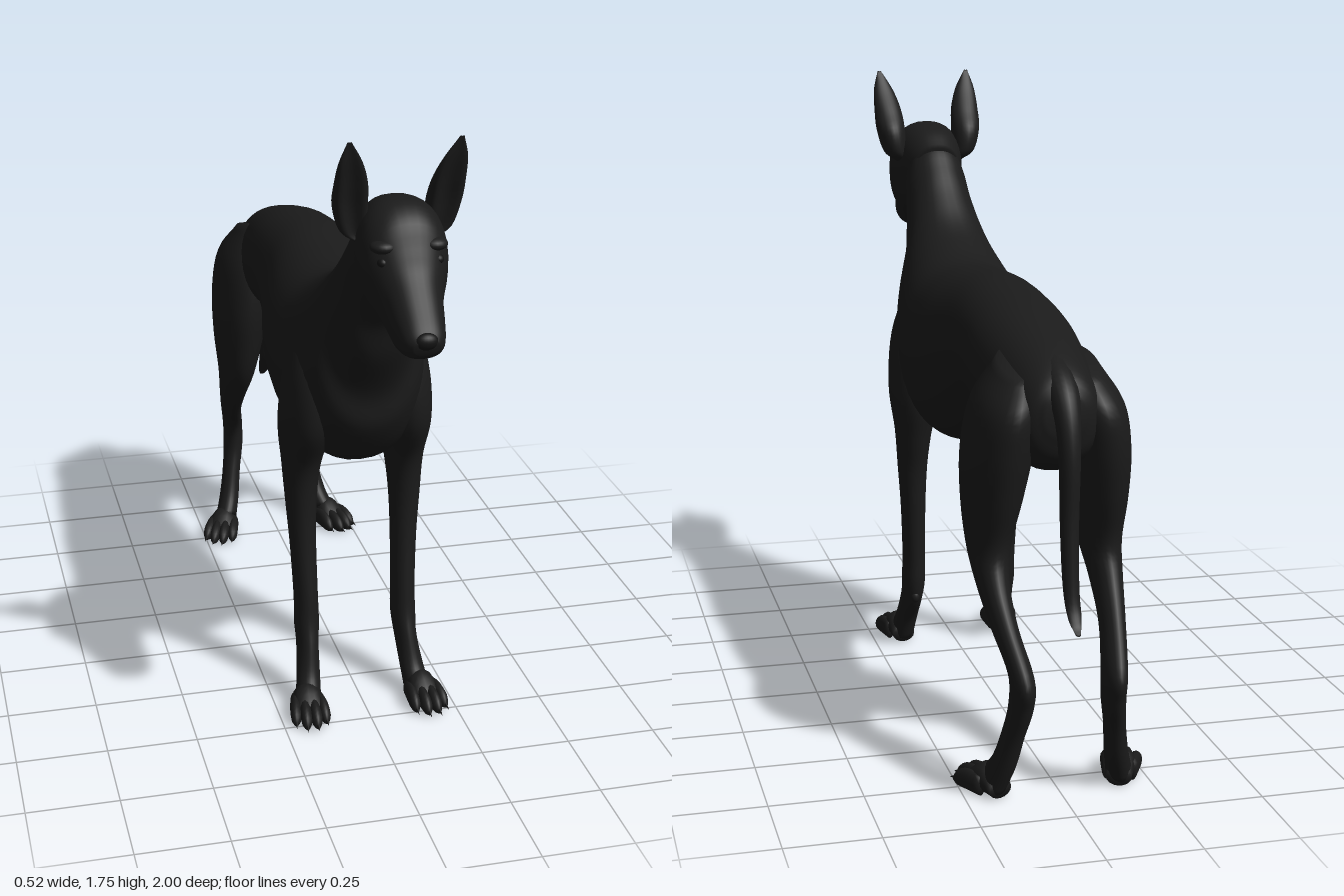
import * as THREE from 'three';

const coat = new THREE.MeshStandardMaterial({ color: 0x1b1b1b });
coat.name = 'black coat';
const dark = new THREE.MeshStandardMaterial({ color: 0x131313 });
dark.name = 'nose and claw black';

// Smooth loft through sections [zA, yA, zB, yB, x, halfWidth].
// A and B are opposite edge points of each ring in the side plane.
function loft(name, sections, { side = 1, round = 1, cup = 0, n = 28, steps = 5, material = coat } = {}) {
  const curve = (f) => new THREE.CatmullRomCurve3(sections.map(f), false, 'catmullrom', 0.5);
  const cA = curve((s) => new THREE.Vector3(0, s[1], s[0]));
  const cB = curve((s) => new THREE.Vector3(0, s[3], s[2]));
  const cW = curve((s) => new THREE.Vector3(s[4], s[5], 0));
  const rows = (sections.length - 1) * steps;
  const pos = [], idx = [];
  const bend = (v) => Math.sign(v) * Math.abs(v) ** round;
  for (let i = 0; i <= rows; i++) {
    const t = i / rows;
    const a = cA.getPoint(t), b = cB.getPoint(t), w = cW.getPoint(t);
    for (let j = 0; j < n; j++) {
      const q = (j / n) * Math.PI * 2;
      const c = Math.cos(q);
      const k = (bend(c) - cup * Math.max(0, c) ** 4 + 1) / 2;
      pos.push(side * (w.x + w.y * bend(Math.sin(q))), Math.max(0, b.y + (a.y - b.y) * k), b.z + (a.z - b.z) * k);
    }
  }
  for (let i = 0; i < rows; i++) {
    for (let j = 0; j < n; j++) {
      const a = i * n + j, b = i * n + (j + 1) % n;
      idx.push(a, b, a + n, b, b + n, a + n);
    }
  }
  // End caps
  for (const r of [0, rows]) {
    const m = pos.length / 3, c = [0, 0, 0];
    for (let j = 0; j < n; j++) for (let d = 0; d < 3; d++) c[d] += pos[(r * n + j) * 3 + d] / n;
    pos.push(...c);
    for (let j = 0; j < n; j++) {
      const a = r * n + j, b = r * n + (j + 1) % n;
      idx.push(...(r ? [m, a, b] : [m, b, a]));
    }
  }
  // Turn the faces outward when the enclosed volume is negative
  const p = (i) => new THREE.Vector3().fromArray(pos, i * 3);
  let volume = 0;
  for (let i = 0; i < idx.length; i += 3) volume += p(idx[i]).dot(p(idx[i + 1]).cross(p(idx[i + 2])));
  if (volume < 0) idx.reverse();
  const g = new THREE.BufferGeometry();
  g.setAttribute('position', new THREE.Float32BufferAttribute(pos, 3));
  g.setIndex(idx);
  g.computeVertexNormals();
  const mesh = new THREE.Mesh(g, material);
  mesh.name = name;
  return mesh;
}

function ball(name, x, y, z, rx, ry, rz, material = coat) {
  const mesh = new THREE.Mesh(new THREE.SphereGeometry(1, 20, 14), material);
  mesh.name = name;
  mesh.position.set(x, y, z);
  mesh.scale.set(rx, ry, rz);
  return mesh;
}

// Paw with four toes and claws, pointing along +z from the heel
function paw(name, x, z, yaw) {
  const g = new THREE.Group();
  g.name = name;
  g.add(loft('pawPad', [
    [0, 0.05, 0, 0, 0, 0.034], [0.05, 0.085, 0.05, 0, 0, 0.04],
    [0.1, 0.06, 0.1, 0, 0, 0.042], [0.13, 0.03, 0.13, 0.004, 0, 0.028]], { n: 16, steps: 3 }));
  [-1.5, -0.5, 0.5, 1.5].forEach((k) => {
    const L = Math.abs(k) > 1 ? 0.148 : 0.172;
    const toe = new THREE.Group();
    toe.name = 'toe';
    toe.position.x = k * 0.02;
    toe.rotation.y = k * 0.06;
    toe.add(loft('toePad', [
      [0.04, 0.055, 0.04, 0, 0, 0.013], [L - 0.06, 0.06, L - 0.06, 0, 0, 0.016],
      [L - 0.02, 0.046, L - 0.02, 0, 0, 0.015], [L, 0.024, L, 0.006, 0, 0.006]], { n: 12, steps: 3 }));
    const claw = new THREE.Mesh(new THREE.ConeGeometry(0.006, 0.03, 8), dark);
    claw.name = 'claw';
    claw.rotation.x = Math.PI / 2 + 0.3;
    claw.position.set(0, 0.015, L + 0.006);
    toe.add(claw);
    g.add(toe);
  });
  g.position.set(x, 0, z);
  g.rotation.y = yaw;
  return g;
}

export function createModel() {
  const dog = new THREE.Group();
  dog.name = 'dog';

  // Trunk from rump to neck
  dog.add(loft('body', [
    [-0.865, 1.06, -0.865, 0.96, 0, 0.05],
    [-0.83, 1.11, -0.83, 0.88, 0, 0.1],
    [-0.72, 1.16, -0.72, 0.84, 0, 0.13],
    [-0.5, 1.22, -0.5, 0.88, 0, 0.152],
    [-0.34, 1.245, -0.34, 0.9, 0, 0.155],
    [-0.18, 1.257, -0.18, 0.834, 0, 0.165],
    [0, 1.246, 0, 0.738, 0, 0.197],
    [0.16, 1.24, 0.19, 0.705, 0, 0.2],
    [0.28, 1.28, 0.37, 0.745, 0, 0.185],
    [0.37, 1.33, 0.475, 0.87, 0, 0.155],
    [0.45, 1.4, 0.495, 0.98, 0, 0.125],
    [0.52, 1.475, 0.565, 1.11, 0, 0.105],
    [0.58, 1.535, 0.605, 1.22, 0, 0.095],
    [0.66, 1.57, 0.68, 1.31, 0, 0.08]], { n: 40, round: 0.92 }));

  // Head and muzzle
  dog.add(loft('head', [
    [0.56, 1.53, 0.64, 1.32, 0, 0.075],
    [0.64, 1.58, 0.7, 1.31, 0, 0.1],
    [0.74, 1.598, 0.74, 1.31, 0, 0.112],
    [0.81, 1.565, 0.78, 1.295, 0, 0.107],
    [0.85, 1.5, 0.82, 1.28, 0, 0.088],
    [0.88, 1.448, 0.86, 1.258, 0, 0.074],
    [0.93, 1.39, 0.9, 1.246, 0, 0.065],
    [0.975, 1.34, 0.955, 1.256, 0, 0.052],
    [0.994, 1.312, 0.982, 1.275, 0, 0.032]], { n: 36, round: 0.85 }));
  dog.add(ball('nose', 0, 1.31, 0.98, 0.03, 0.022, 0.02, dark));

  // Tail
  dog.add(loft('tail', [
    [-0.72, 1.16, -0.74, 1.07, 0, 0.05],
    [-0.84, 1.112, -0.82, 1.03, 0, 0.042],
    [-0.905, 1.04, -0.855, 0.99, 0, 0.034],
    [-0.935, 0.92, -0.872, 0.91, 0, 0.028],
    [-0.934, 0.74, -0.88, 0.74, 0, 0.024],
    [-0.95, 0.57, -0.9, 0.61, 0, 0.021],
    [-0.975, 0.505, -0.94, 0.535, 0, 0.018],
    [-1, 0.48, -0.985, 0.487, 0, 0.007]], { n: 18 }));
  dog.add(ball('sheath', 0, 0.885, -0.455, 0.028, 0.038, 0.06));

  for (const side of [1, -1]) {
    const label = side > 0 ? 'left' : 'right';

    // Ear with a hollow front
    dog.add(loft(label + 'Ear', [
      [0.782, 1.758, 0.776, 1.745, 0.14, 0.006],
      [0.778, 1.705, 0.738, 1.69, 0.132, 0.03],
      [0.77, 1.645, 0.69, 1.63, 0.124, 0.042],
      [0.76, 1.58, 0.648, 1.575, 0.12, 0.044],
      [0.74, 1.51, 0.645, 1.51, 0.108, 0.036],
      [0.72, 1.48, 0.67, 1.48, 0.085, 0.02]], { side, cup: 0.7, n: 24 }));

    // Eye and brow
    dog.add(ball(label + 'Brow', side * 0.064, 1.5, 0.815, 0.034, 0.018, 0.032));
    dog.add(ball(label + 'Eye', side * 0.07, 1.465, 0.832, 0.014, 0.013, 0.016, dark));

    // Front leg from shoulder to pastern
    dog.add(loft(label + 'FrontLeg', [
      [0.36, 1.14, 0.26, 1.15, 0.115, 0.04],
      [0.42, 1, 0.2, 1, 0.13, 0.07],
      [0.42, 0.85, 0.16, 0.83, 0.14, 0.074],
      [0.352, 0.72, 0.185, 0.7, 0.148, 0.054],
      [0.332, 0.6, 0.215, 0.59, 0.15, 0.044],
      [0.332, 0.47, 0.232, 0.46, 0.147, 0.037],
      [0.347, 0.32, 0.247, 0.3, 0.143, 0.034],
      [0.357, 0.24, 0.253, 0.22, 0.143, 0.035],
      [0.376, 0.18, 0.272, 0.155, 0.145, 0.031],
      [0.405, 0.1, 0.325, 0.085, 0.152, 0.033],
      [0.44, 0.06, 0.36, 0.01, 0.16, 0.036]], { side }));
    dog.add(ball(label + 'CarpalPad', side * 0.145, 0.178, 0.272, 0.014, 0.02, 0.016));
    dog.add(paw(label + 'FrontPaw', side * 0.163, 0.365, side * 0.08));

    // Hind leg from hip to hock and pastern
    dog.add(loft(label + 'HindLeg', [
      [-0.61, 1.14, -0.79, 1.09, 0.085, 0.045],
      [-0.525, 1.02, -0.855, 1.01, 0.112, 0.082],
      [-0.508, 0.88, -0.85, 0.9, 0.13, 0.088],
      [-0.53, 0.75, -0.815, 0.77, 0.142, 0.076],
      [-0.573, 0.63, -0.772, 0.64, 0.15, 0.056],
      [-0.66, 0.53, -0.8, 0.56, 0.152, 0.042],
      [-0.765, 0.435, -0.87, 0.47, 0.143, 0.033],
      [-0.842, 0.36, -0.97, 0.35, 0.123, 0.031],
      [-0.857, 0.28, -0.955, 0.27, 0.122, 0.031],
      [-0.84, 0.2, -0.917, 0.18, 0.135, 0.029],
      [-0.81, 0.12, -0.885, 0.09, 0.15, 0.032],
      [-0.77, 0.07, -0.85, 0.01, 0.17, 0.036]], { side }));
    dog.add(paw(label + 'HindPaw', side * 0.16, -0.845, side * 0.36));
  }
  return dog;
}
